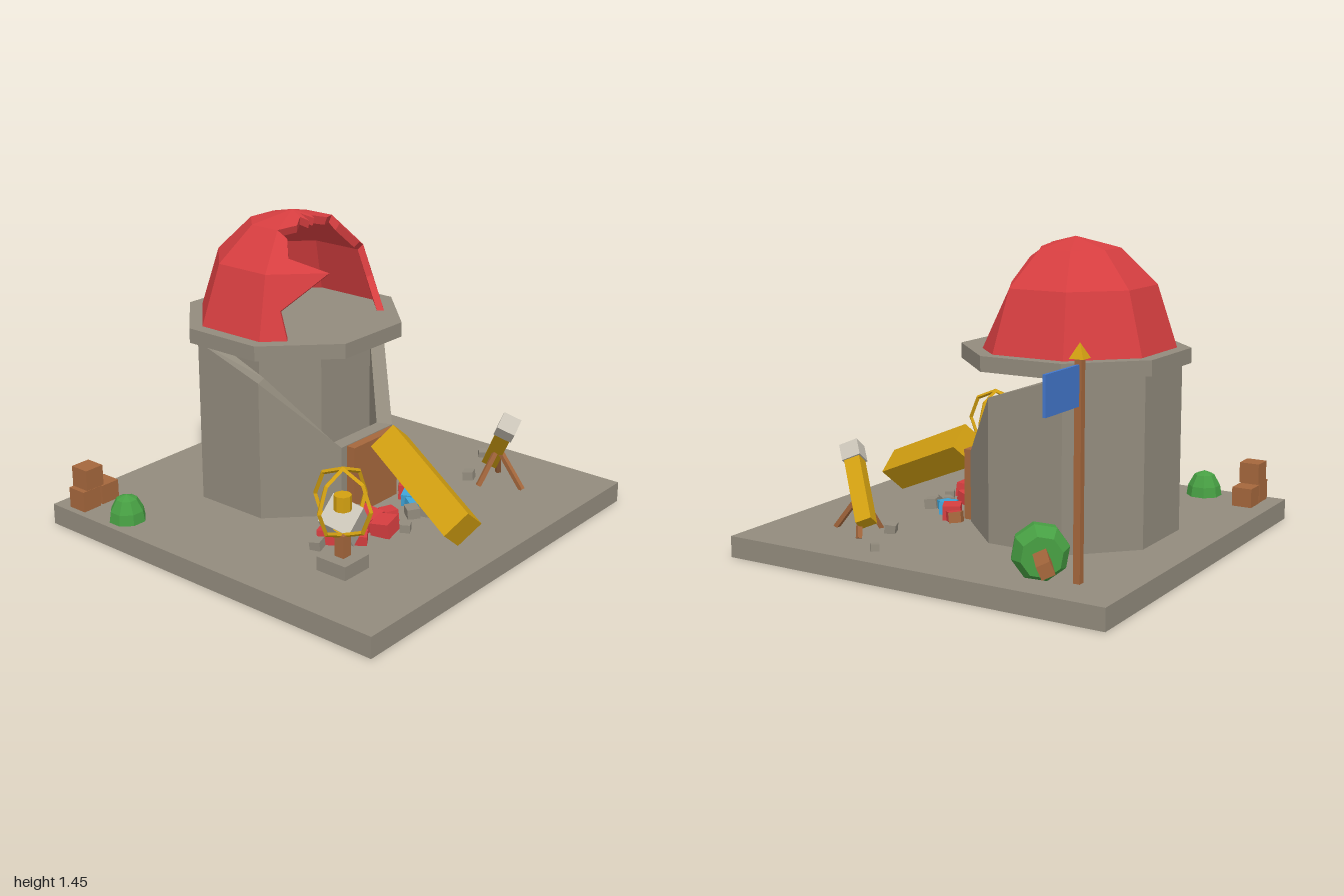
import * as THREE from 'three';

const mat = (name, color) => new THREE.MeshStandardMaterial({ name, color, flatShading: true, side: THREE.DoubleSide });
const stone = mat('stone', 0x928b7d), paleStone = mat('paleStone', 0xc9c3b6), red = mat('redRoof', 0xd63e40);
const wood = mat('wood', 0xa5673c), gold = mat('gold', 0xd3a011), green = mat('leaf', 0x479f43);
const blue = mat('flagBlue', 0x4377cc), crystal = mat('glassBlue', 0x3fa3d6);

const CX = -0.035, CZ = -0.29, FLOOR = 0.1;
const COS = Math.cos(Math.PI / 8);

// Point on an octagon; corner 0 is the front corner toward +x, fractions lie along a side
function octPoint(a, apothem, y) {
  const k = Math.floor(a), f = a - k, r = apothem / COS;
  const at = (i) => {
    const t = (i + 0.5) * Math.PI / 4;
    return new THREE.Vector3(CX + r * Math.sin(t), y, CZ + r * Math.cos(t));
  };
  return at(k).lerp(at(k + 1), f);
}

// Closed slab between an outer polygon and the matching inner polygon
function slab(outer, inner) {
  const v = [], n = outer.length;
  const tri = (...ps) => ps.forEach((p) => v.push(p.x, p.y, p.z));
  for (let i = 1; i < n - 1; i++) {
    tri(outer[0], outer[i], outer[i + 1]);
    tri(inner[0], inner[i + 1], inner[i]);
  }
  for (let i = 0; i < n; i++) {
    const j = (i + 1) % n;
    tri(outer[j], outer[i], inner[i]);
    tri(outer[j], inner[i], inner[j]);
  }
  const g = new THREE.BufferGeometry();
  g.setAttribute('position', new THREE.Float32BufferAttribute(v, 3));
  g.computeVertexNormals();
  return g;
}

export function createModel() {
  const model = new THREE.Group();
  model.name = 'ruinedObservatory';

  const add = (name, geo, material, pos = [0, 0, 0], rot = [0, 0, 0], parent = model) => {
    const m = new THREE.Mesh(geo, material);
    m.name = name;
    m.position.set(...pos);
    m.rotation.set(...rot);
    parent.add(m);
    return m;
  };
  const box = (name, size, material, pos, rot, parent) =>
    add(name, new THREE.BoxGeometry(...size), material, pos, rot, parent);
  const group = (name) => {
    const g = new THREE.Group();
    g.name = name;
    model.add(g);
    return g;
  };
  // Square beam running from p to q
  const beam = (name, p, q, w, material, roll = 0, parent = model) => {
    const a = new THREE.Vector3(...p), d = new THREE.Vector3(...q).sub(a);
    const m = box(name, [w, d.length(), w], material, [0, 0, 0], [0, 0, 0], parent);
    m.position.copy(a).addScaledVector(d, 0.5);
    m.quaternion.setFromUnitVectors(new THREE.Vector3(0, 1, 0), d.normalize());
    m.rotateY(roll);
    return m;
  };

  // Base plate, open underneath
  const plate = new THREE.BoxGeometry(1.93, FLOOR, 1.93);
  plate.setIndex(Array.from(plate.index.array).filter((_, i) => i < 18 || i >= 24));
  plate.clearGroups();
  add('basePlate', plate, stone, [CX, FLOOR / 2, 0]);

  // Tower walls, broken down toward the front
  const tower = group('towerWalls');
  const heights = [0.44, 0.765, 0.885, 0.885, 0.885, 0.885, 0.765, 0.44, 0.44];
  for (let k = 0; k < 8; k++) {
    const side = (ap) => [octPoint(k, ap, FLOOR), octPoint(k + 1, ap, FLOOR),
      octPoint(k + 1, ap, heights[k + 1]), octPoint(k, ap, heights[k])];
    add('towerWall', slab(side(0.4525), side(0.382)), stone, undefined, undefined, tower);
  }
  box('door', [0.32, 0.345, 0.045], wood, [-0.03, 0.2675, 0.19]);

  // Roof deck
  const deck = new THREE.CylinderGeometry(0.49 / COS, 0.49 / COS, 0.07, 8);
  add('roofDeck', deck, stone, [CX, 0.92, CZ], [0, Math.PI / 8, 0]);

  // Dome: whole panels at the back, torn panels at the front
  const dome = group('brokenDome');
  const rings = [[0.43, 0.955], [0.345, 1.235], [0.19, 1.395], [0, 1.445]];
  const domePoint = (a, r, s) => {
    const i = Math.min(Math.floor(r), 2), f = r - i;
    const ap = THREE.MathUtils.lerp(rings[i][0], rings[i + 1][0], f);
    const y = THREE.MathUtils.lerp(rings[i][1], rings[i + 1][1], f);
    return octPoint(a, ap * s, 0.955 + (y - 0.955) * (s + 0.02));
  };
  const panel = (pts) => add('domePanel', slab(pts.map(([a, r]) => domePoint(a, r, 1)),
    pts.map(([a, r]) => domePoint(a, r, 0.92))), red, undefined, undefined, dome);
  for (let k = 1; k < 6; k++) {
    for (let r = 0; r < 2; r++) panel([[k, r], [k + 1, r], [k + 1, r + 1], [k, r + 1]]);
    panel([[k, 2], [k + 1, 2], [k, 3]]);
  }
  [
    [[6, 0], [6.35, 0], [6.25, 0.45], [6, 1]],
    [[6.25, 0.45], [7, 1], [6, 1]],
    [[6, 1], [7, 1], [6.35, 1.35]],
    [[6, 1], [6.35, 1.35], [6.3, 1.8], [6, 2]],
    [[0.45, 0], [1, 0], [1, 1], [0.85, 0.5]],
    [[0.85, 1.15], [1, 1], [1, 2], [0.7, 1.8]],
    [[0.5, 2.15], [1, 2], [1, 3]],
    [[0, 2.55], [0.5, 2.15], [0.5, 3]],
    [[6, 2], [6.6, 2.2], [6, 3]],
    [[6.6, 2.2], [6.99, 2.6], [6.6, 3]],
    [[7, 2.6], [7.3, 2.35], [7.5, 2.75], [7, 3]],
    [[7.5, 2.75], [7.75, 2.4], [7.99, 2.55], [7.5, 3]],
  ].forEach(panel);

  // Flag
  box('flagPole', [0.032, 0.94, 0.032], wood, [0.715, 0.57, -0.725]);
  add('poleTip', new THREE.ConeGeometry(0.046, 0.065, 4), gold, [0.715, 1.068, -0.725], [0, Math.PI / 4, 0]);
  box('flag', [0.27, 0.17, 0.014], blue, [0.865, 0.927, -0.725]);

  // Fallen tree lying on its side, and a small bush
  const lathe = (pts) => new THREE.LatheGeometry(pts.map((p) => new THREE.Vector2(...p)), 8);
  const tree = group('fallenTree');
  tree.position.set(0.83, 0.222, -0.62);
  tree.quaternion.setFromUnitVectors(new THREE.Vector3(0, 1, 0), new THREE.Vector3(-0.82, 0, 0.57).normalize());
  add('foliage', lathe([[0, 0], [0.09, 0], [0.125, 0.07], [0.12, 0.13], [0, 0.285]]), green, undefined, [0, 0.39, 0], tree);
  box('treeTrunk', [0.06, 0.19, 0.06], wood, [0, -0.085, 0], [0, 0.2, 0], tree);
  add('bush', lathe([[0, 0], [0.088, 0], [0.08, 0.05], [0.05, 0.105], [0, 0.125]]), green, [-0.885, FLOOR, -0.575], [0, 0.39, 0]);

  // Crates
  [[-0.918, 0.15, -0.83], [-0.802, 0.147, -0.833], [-0.893, 0.25, -0.832]].forEach((p, i) =>
    box('crate', [0.1, 0.1 - (i === 1 ? 0.006 : 0), 0.1], wood, p));

  // Large fallen telescope tube
  beam('largeTelescope', [-0.165, 0.205, 0.81], [0, 0.43, 0.265], 0.145, gold, 0.45);

  // Small telescope on a tripod
  const scope = group('smallTelescope');
  beam('scopeTube', [0.635, 0.17, 0.415], [0.49, 0.41, 0.585], 0.076, gold, 0.3, scope);
  beam('scopeCap', [0.49, 0.41, 0.585], [0.452, 0.47, 0.63], 0.09, paleStone, 0.3, scope);
  [[0.46, 0.1, 0.46], [0.555, 0.1, 0.65], [0.66, 0.1, 0.44]].forEach((foot) =>
    beam('tripodLeg', [0.56, 0.28, 0.5], foot, 0.022, wood, 0, scope));

  // Ring instrument on a pedestal
  const rig = group('ringInstrument');
  rig.position.set(-0.63, 0, 0.51);
  box('pedestal', [0.16, 0.065, 0.16], stone, [0, 0.1325, 0], undefined, rig);
  box('pedestalPost', [0.05, 0.11, 0.05], wood, [0, 0.215, 0], undefined, rig);
  for (const turn of [0, Math.PI / 2])
    add('instrumentRing', new THREE.TorusGeometry(0.155, 0.011, 4, 8), gold, [0, 0.415, 0], [0, turn, 0], rig);
  add('instrumentCore', new THREE.CylinderGeometry(0.04, 0.04, 0.07, 8), gold, [0, 0.417, 0], undefined, rig);
  box('fallenBlock', [0.14, 0.18, 0.15], paleStone, [-0.535, 0.275, 0.435], [0.3, 0.25, 0.75]);

  // Rubble: material, x, z, size, yaw
  const rubble = group('rubble');
  [
    [red, -0.46, 0.29, 0.1, 0.4], [red, -0.385, 0.41, 0.07, 0.6], [red, -0.235, 0.32, 0.13, 0.1],
    [red, -0.24, 0.43, 0.11, 0.2], [red, 0.15, 0.27, 0.1, 0.5], [red, 0.19, 0.24, 0.07, 0.9],
    [red, -0.12, 0.36, 0.08, 1.1], [crystal, 0.09, 0.33, 0.09, 0.4], [crystal, 0.04, 0.38, 0.07, 1],
    [stone, -0.55, 0.295, 0.06, 0.3], [stone, -0.275, 0.235, 0.065, 0.6], [stone, -0.19, 0.24, 0.065, 0.2],
    [stone, 0.5, 0.375, 0.06, 0.4], [stone, 0.775, 0.265, 0.045, 0.7], [stone, 0.04, 0.46, 0.07, 0.3],
    [stone, -0.02, 0.42, 0.07, 0.9], [stone, -0.16, 0.49, 0.055, 0.5], [wood, 0.2, 0.215, 0.07, 0.4],
  ].forEach(([material, x, z, s, yaw], i) => {
    const h = Math.min(s * 0.7, 0.07);
    box('rubblePiece', [s, h, s * 0.85], material, [x, FLOOR + h * 0.5, z], [0.12 * (i % 3 - 1), yaw, 0.1 * (i % 2)], rubble);
  });

  return model;
}
